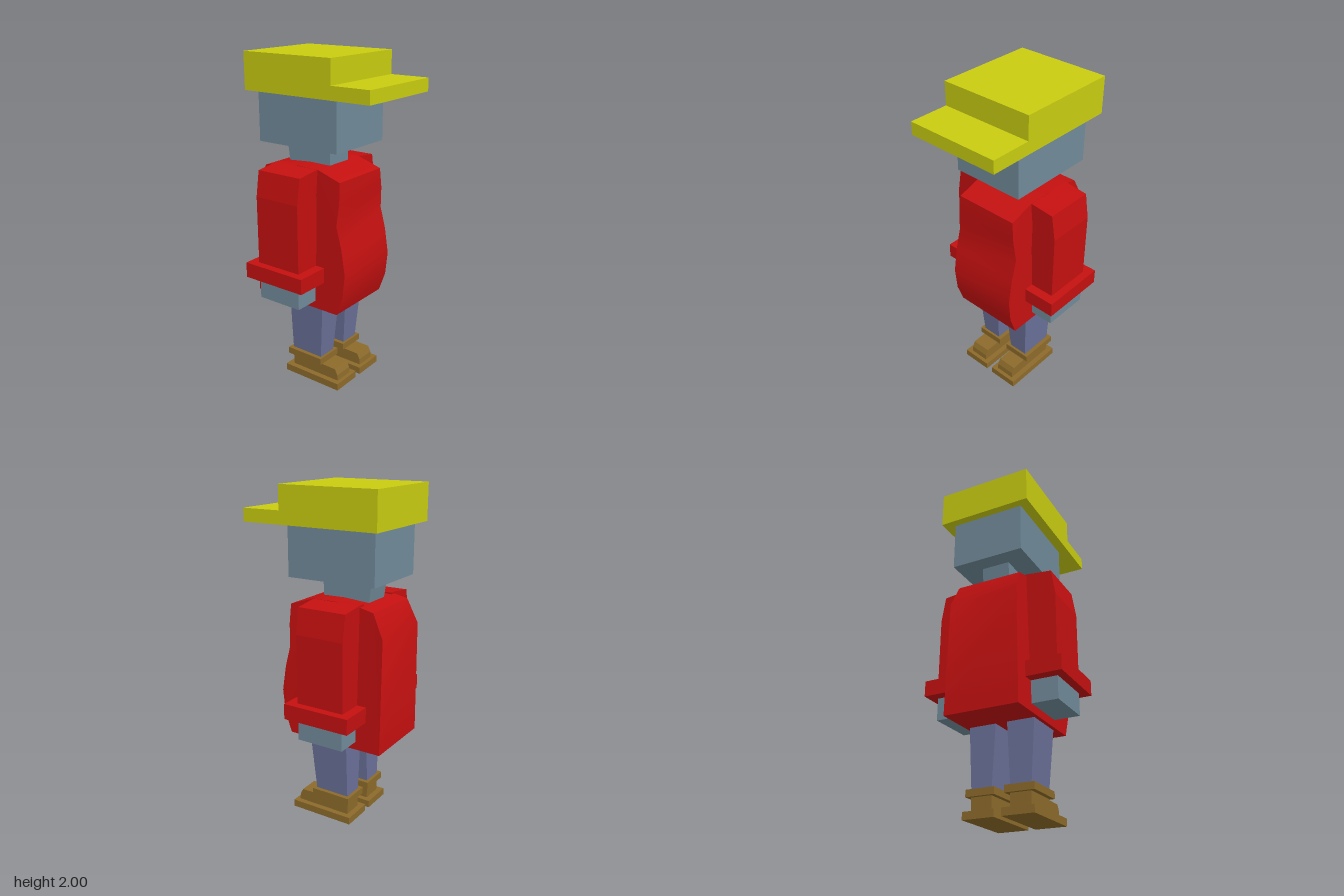
import * as THREE from 'three';
import { toCreasedNormals } from 'three/addons/utils/BufferGeometryUtils.js';

const mat = (color) => new THREE.MeshStandardMaterial({ color });

function add(parent, name, geometry, material) {
  const mesh = new THREE.Mesh(geometry, material);
  mesh.name = name;
  parent.add(mesh);
  return mesh;
}

// Box between two heights; each end is a rectangle [x0, x1, z0, z1]
function block(y0, y1, bottom, top = bottom) {
  const g = new THREE.BoxGeometry(1, 1, 1);
  const p = g.attributes.position;
  for (let i = 0; i < p.count; i++) {
    const up = p.getY(i) > 0;
    const r = up ? top : bottom;
    p.setXYZ(i, p.getX(i) < 0 ? r[0] : r[1], up ? y1 : y0, p.getZ(i) < 0 ? r[2] : r[3]);
  }
  g.computeVertexNormals();
  return g;
}

// Side profile of [z, y] points, extruded along x and centred on cx
function sideExtrude(points, width, cx = 0) {
  const shape = new THREE.Shape(points.map(([z, y]) => new THREE.Vector2(z, y)));
  const g = new THREE.ExtrudeGeometry(shape, { depth: width, bevelEnabled: false });
  return g.translate(0, 0, -width / 2).rotateY(-Math.PI / 2).translate(cx, 0, 0);
}

export function createModel() {
  const model = new THREE.Group();
  model.name = 'figure';
  const yellow = mat(0xc8cc10);
  const red = mat(0xc41010);
  const skin = mat(0x708a99);
  const trousers = mat(0x6a7199);
  const leather = mat(0x8c6a2a);

  // Cap with flat peak
  const cap = new THREE.Group();
  cap.name = 'cap';
  model.add(cap);
  add(cap, 'capCrown', block(1.783, 2, [-0.273, 0.307, -0.43, 0.183]), yellow);
  add(cap, 'capPeak', block(1.783, 1.86, [-0.273, 0.307, 0.183, 0.43]), yellow);

  // Head and neck
  add(model, 'head', block(1.483, 1.785, [-0.212, 0.239, -0.383, 0.175]), skin);
  add(model, 'neck', block(1.34, 1.485, [-0.08, 0.095, -0.265, 0.028], [-0.08, 0.095, -0.285, 0.035]), skin);

  // Coat body: bulging front, straight back, narrowing towards the shoulders
  const coat = sideExtrude([
    [-0.427, 0.52], [0.182, 0.52], [0.225, 0.64], [0.24, 0.785], [0.215, 0.94], [0.18, 1.07],
    [0.19, 1.2], [0.185, 1.32], [0.03, 1.37], [-0.11, 1.372], [-0.27, 1.36], [-0.36, 1.34], [-0.427, 1.2],
  ], 0.45);
  const p = coat.attributes.position;
  for (let i = 0; i < p.count; i++) {
    const t = Math.max(0, p.getY(i) - 1.07) / 0.25;
    p.setX(i, p.getX(i) * (1 - 0.11 * Math.min(1, t)) + 0.007);
  }
  add(model, 'coatBody', toCreasedNormals(coat, 0.45), red);

  // Arms, mirrored
  for (const s of [1, -1]) {
    const arm = new THREE.Group();
    arm.name = s > 0 ? 'leftArm' : 'rightArm';
    model.add(arm);
    const cx = 0.003;
    const rect = (a, b, z0, z1) => (s > 0 ? [cx + a, cx + b, z0, z1] : [cx - b, cx - a, z0, z1]);
    const outline = [[0.16, 0.7], [0.377, 0.7], [0.377, 1.2], [0.352, 1.353], [0.2, 1.37], [0.16, 1.37]];
    const sleeve = new THREE.Shape(outline.map(([x, y]) => new THREE.Vector2(cx + s * x, y)));
    const sleeveGeo = new THREE.ExtrudeGeometry(sleeve, { depth: 0.303, bevelEnabled: false });
    add(arm, 'sleeve', sleeveGeo.translate(0, 0, -0.275), red);
    add(arm, 'cuff', block(0.7, 0.793, rect(0.18, 0.426, -0.333, 0.087)), red);
    add(arm, 'hand', block(0.567, 0.71, rect(0.2, 0.376, -0.27, 0.025)), skin);
  }

  // Legs and boots
  for (const s of [1, -1]) {
    const leg = new THREE.Group();
    leg.name = s > 0 ? 'leftLeg' : 'rightLeg';
    leg.position.x = 0.006 + s * 0.118;
    model.add(leg);
    add(leg, 'trouserLeg', block(0.15, 0.54, [-0.062, 0.062, -0.19, 0.028], [-0.084, 0.084, -0.192, 0.06]), trousers);
    add(leg, 'bootCollar', block(0.124, 0.165, [-0.088, 0.088, -0.21, 0.045]), leather);
    add(leg, 'bootUpper', sideExtrude([
      [-0.19, 0.04], [0.16, 0.04], [0.156, 0.08], [0.138, 0.116], [0.03, 0.118], [0.02, 0.13], [-0.19, 0.13],
    ], 0.124), leather);
    add(leg, 'bootSole', block(0, 0.044, [-0.096, 0.096, -0.225, 0.183]), leather);
  }

  return model;
}
